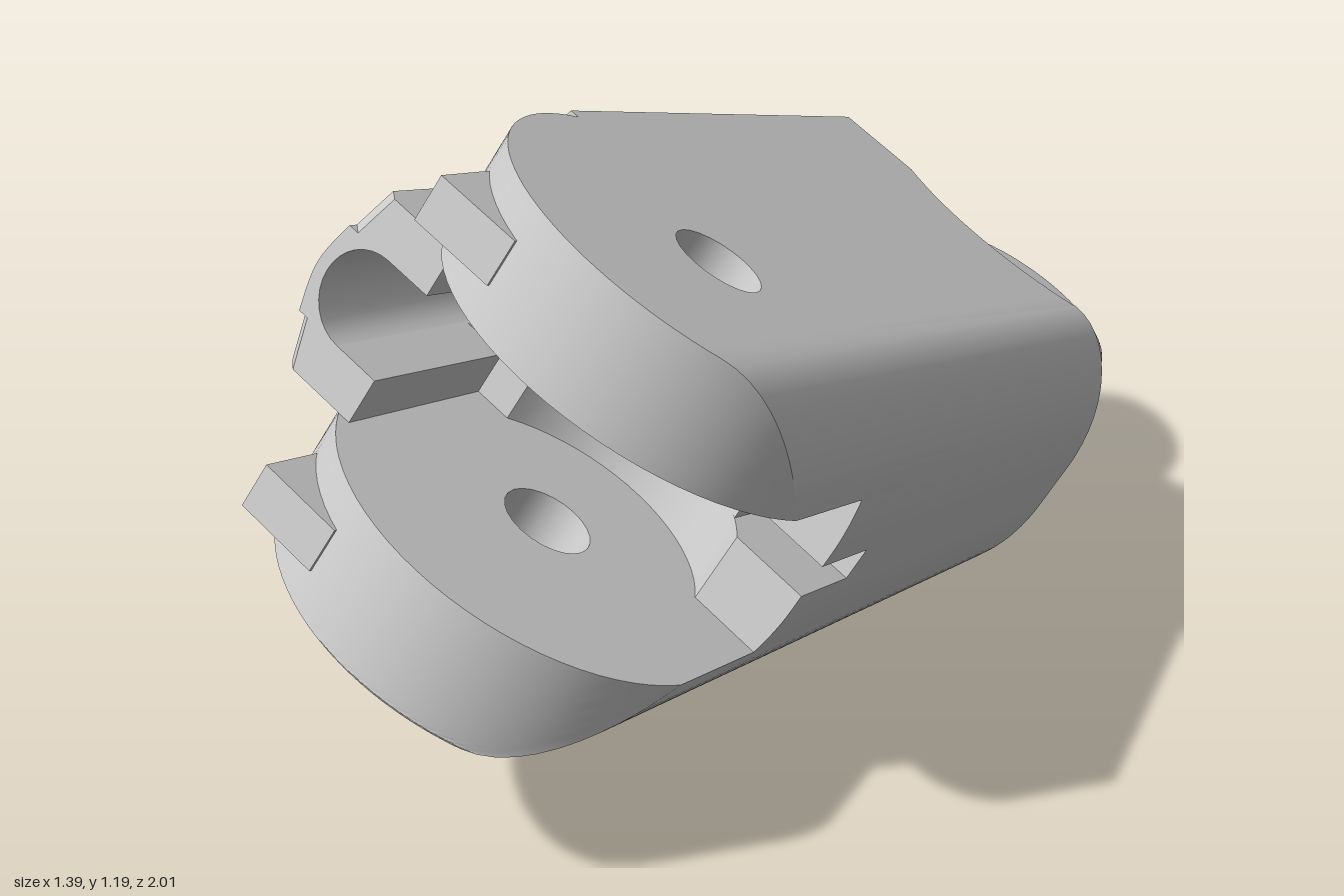
import * as THREE from 'three';
import { toCreasedNormals } from 'three/addons/utils/BufferGeometryUtils.js';

// Local frame: x = across the segment (pad side +), y = along it (fork to pulley), z = hinge axis
const U0 = -0.15, FORK_Y = -0.763, PULLEY_Y = 0.787, BACK_Y = 0.43;
const FORK_R = 0.385, GAP = 0.17, HALF = 0.375;
const BORE_X = -0.54, BORE_R = 0.085;      // large tunnel under the ridge
const CORD_X = 0.15, CORD_R = 0.033;       // thin tunnel near the pad
const CLIP_Y = -0.97, FLOOR_Y = -0.6, WALL_Y = -0.616, SLOT_Y = -0.45;

const chord = (r, z) => Math.sqrt(Math.max(0, r * r - z * z));
const ridge = z => -0.66 + 0.31 * Math.hypot(z, 0.04);                                   // gabled back
const pad = z => 0.06 + 0.175 * chord(1, Math.max(0, Math.abs(z) - 0.06) / 0.315);       // rounded pad
const taper = y => 1 - 0.141 * (y - FORK_Y);

// Arc points; angle 0 points to -x, a quarter turn points to -y
function arc(cy, r, t0, t1, n) {
  return Array.from({ length: n + 1 }, (_, i) => {
    const t = t0 + (t1 - t0) * i / n;
    return [U0 - r * Math.cos(t), cy - r * Math.sin(t)];
  });
}

// Concave end that clears the neighbouring fork, from pad side to ridge side
function backArc(z) {
  const r = 0.42, h = Math.min(0.221, pad(z) - U0 - 0.005);
  return arc(PULLEY_Y, r, Math.PI / 2 + Math.asin(h / r), Math.PI / 2 - Math.asin(0.221 / r), 16);
}

// Concave seat between the fork arms, ending at the given x offset
function seatArc(endX) {
  const r = 0.28, s = Math.asin((FLOOR_Y - FORK_Y) / r);
  return arc(FORK_Y, r, -s, -Math.PI + Math.acos(endX / r), 20);
}

// Outlines of the slices; each ring list is outline first, then holes
const forkSlice = z => [
  [[ridge(z), BACK_Y], [ridge(z), -0.68],
    ...arc(FORK_Y, FORK_R, -0.217, Math.acos((U0 - pad(z)) / FORK_R), 36),
    [pad(z), BACK_Y], ...backArc(z)],
  arc(FORK_Y, 0.08, 0, -2 * Math.PI, 24).slice(0, -1),
];
const cheekSlice = z => [[
  [ridge(z), BACK_Y], [ridge(z), CLIP_Y + 0.02], [ridge(z) + 0.02, CLIP_Y], [-0.45, CLIP_Y], [-0.45, FLOOR_Y],
  ...seatArc(0.237), [pad(z), WALL_Y], [pad(z), BACK_Y], ...backArc(z)]];
const floorX = z => BORE_X + chord(BORE_R, z);
const coreSlice = z => [[
  [floorX(z), BACK_Y], [floorX(z), FLOOR_Y], ...seatArc(0.237),
  [pad(z), WALL_Y], [pad(z), BACK_Y], ...backArc(z)]];
const slotSlice = z => {
  const x = CORD_X - chord(CORD_R, z);
  return [[[floorX(z), BACK_Y], [floorX(z), FLOOR_Y], ...seatArc(0.2),
    [0.055, SLOT_Y], [x, SLOT_Y], [x, BACK_Y], ...backArc(z)]];
};
const padSlice = z => {
  const x = CORD_X + chord(CORD_R, z);
  return [[[x, BACK_Y], [x, SLOT_Y], [pad(z), SLOT_Y], [pad(z), BACK_Y]]];
};
const roofSlice = z => {
  const x = BORE_X - chord(BORE_R, z);
  return [[[ridge(z), BACK_Y], [ridge(z), CLIP_Y], [x, CLIP_Y], [x, BACK_Y]]];
};

// Loft slices from z0 to z1 and close both ends
function loft(slice, z0, z1, n) {
  const pos = [];
  const put = (p, z) => pos.push(p[0], p[1], z * taper(p[1]));
  const zs = Array.from({ length: n + 1 }, (_, i) => {
    const s = -Math.cos(Math.PI * i / n);
    return (z0 + z1) / 2 + (z1 - z0) / 2 * s;
  });
  for (let k = 0; k < n; k++) {
    const lo = slice(zs[k]), hi = slice(zs[k + 1]);
    lo.forEach((ring, r) => ring.forEach((a, i) => {
      const j = (i + 1) % ring.length, b = ring[j], c = hi[r][j], d = hi[r][i];
      put(a, zs[k]); put(b, zs[k]); put(c, zs[k + 1]);
      put(a, zs[k]); put(c, zs[k + 1]); put(d, zs[k + 1]);
    }));
  }
  for (const [z, order] of [[z0, [0, 2, 1]], [z1, [0, 1, 2]]]) {
    const rings = slice(z).map(ring => ring.map(p => new THREE.Vector2(p[0], p[1])));
    const all = rings.flat();
    for (const f of THREE.ShapeUtils.triangulateShape(rings[0], rings.slice(1)))
      for (const o of order) put([all[f[o]].x, all[f[o]].y], z);
  }
  const g = new THREE.BufferGeometry();
  g.setAttribute('position', new THREE.Float32BufferAttribute(pos, 3));
  return toCreasedNormals(g, 0.5);
}

export function createModel() {
  const model = new THREE.Group();
  model.name = 'fingerSegment';
  const mat = new THREE.MeshStandardMaterial({ color: 0xcccccc });
  const add = (name, geo, x = 0, y = 0, z = 0) => {
    const m = new THREE.Mesh(geo, mat);
    m.name = name;
    m.position.set(x, y, z);
    model.add(m);
    return m;
  };

  // Body in slices: centre with tunnels, cheeks, then fork arms
  add('tunnelRoof', loft(roofSlice, -BORE_R, BORE_R, 16));
  add('bodyCore', loft(slotSlice, -CORD_R, CORD_R, 10));
  add('padStrip', loft(padSlice, -CORD_R, CORD_R, 10));
  for (const [side, s] of [['left', 1], ['right', -1]]) {
    const pair = (name, slice, a, b, n) =>
      add(side + name, loft(slice, s > 0 ? a : -b, s > 0 ? b : -a, n));
    pair('Core', coreSlice, CORD_R, BORE_R, 8);
    pair('Cheek', cheekSlice, BORE_R, GAP, 4);
    pair('ForkArm', forkSlice, GAP, HALF, 14);
    // Stop lug on the nose of the fork arm
    add(side + 'StopLug', new THREE.BoxGeometry(0.16, 0.16, 0.085),
      U0 - 0.23, FORK_Y - 0.28, s * 0.287);
  }

  // Arm and grooved pulley at the back
  add('pulleyArm', new THREE.BoxGeometry(0.25, 0.32, 0.18), U0, 0.49, -0.015);
  const half = [];
  const R = 0.235, top = 0.152, f = 0.042;
  for (let i = 0; i <= 12; i++) {
    const t = -Math.PI / 2 + Math.PI * i / 12;
    half.push([R - f + f * Math.cos(t), top - f + f * Math.sin(t)]);
  }
  const upper = [[0.185, top - 2 * f], ...half, [0.07, top]];
  const lower = upper.map(([r, h]) => [r, -h]).reverse();
  const profile = [...lower, ...upper, lower[0]].map(p => new THREE.Vector2(p[0], p[1]));
  const pulley = add('pulley', toCreasedNormals(new THREE.LatheGeometry(profile, 48), 0.6),
    U0, PULLEY_Y, -0.015);
  pulley.rotation.x = Math.PI / 2;

  // Tilt the whole segment into its pose
  const tilt = new THREE.Vector3(0.52, 0.854, 0).normalize();
  const across = new THREE.Vector3(tilt.y, -tilt.x, 0);
  const front = new THREE.Vector3(0, 0, 1);
  const c = 0.894, s = 0.448;
  const x = across.clone().multiplyScalar(c).addScaledVector(front, s).normalize();
  const y = across.clone().multiplyScalar(s).addScaledVector(front, -c).normalize();
  model.quaternion.setFromRotationMatrix(new THREE.Matrix4().makeBasis(x, y, tilt));
  model.position.copy(tilt).multiplyScalar(0.465);

  const root = new THREE.Group();
  root.name = 'model';
  root.add(model);
  return root;
}
